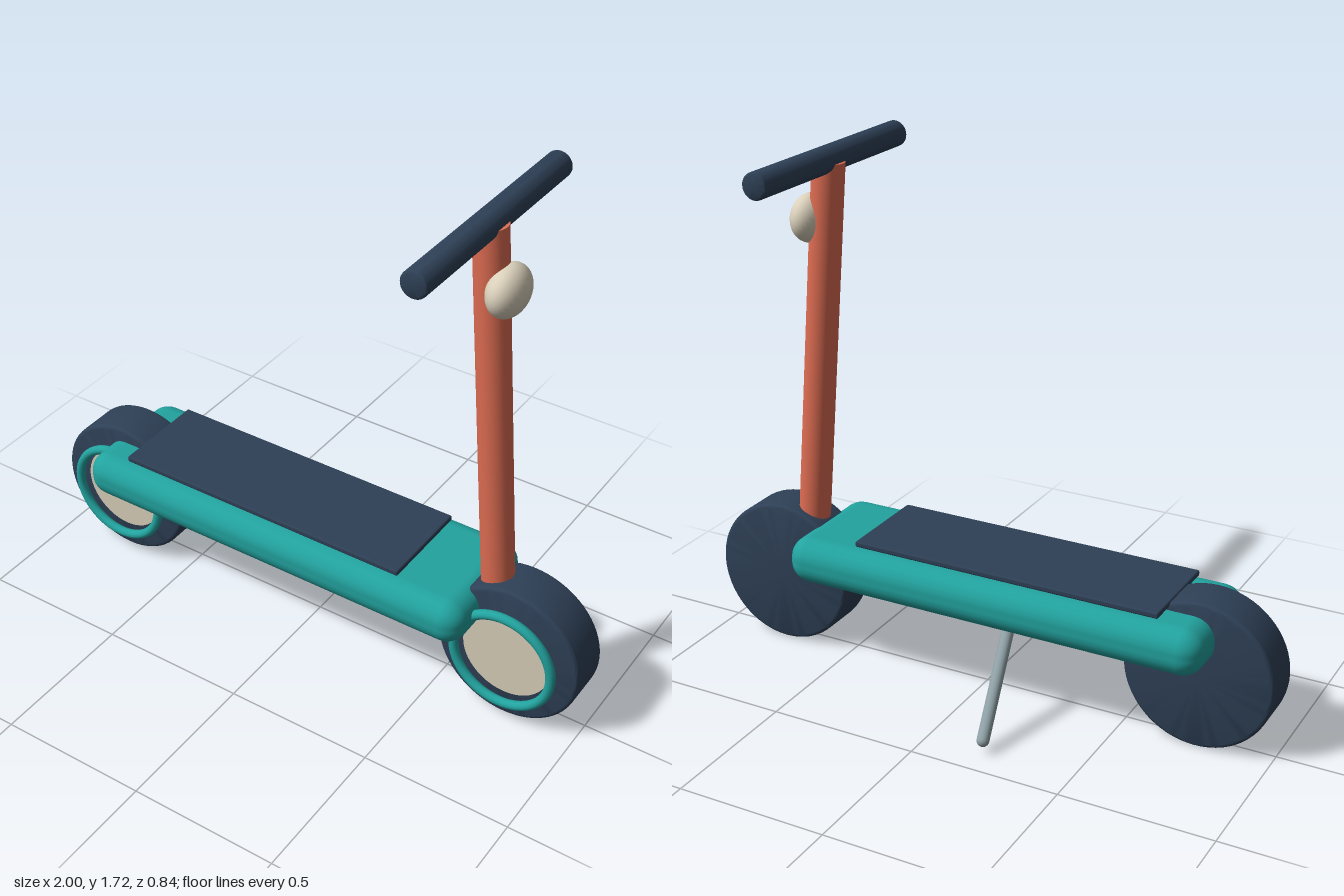
import * as THREE from 'three';
import { toCreasedNormals } from 'three/addons/utils/BufferGeometryUtils.js';
import { RoundedBoxGeometry } from 'three/addons/geometries/RoundedBoxGeometry.js';

const material = (name, color) => {
  const m = new THREE.MeshStandardMaterial({ color });
  m.name = name;
  return m;
};

// Solid disc or bar along z with softly rounded rims
function roundedCylinder(radius, length, bevel, sides) {
  const h = length / 2;
  const points = [new THREE.Vector2(0, -h)];
  for (const end of [-1, 1]) {
    for (let i = 0; i <= 4; i++) {
      const a = ((end < 0 ? i - 4 : i) / 4) * (Math.PI / 2);
      points.push(new THREE.Vector2(
        radius - bevel + bevel * Math.cos(a),
        end * (h - bevel) + bevel * Math.sin(a)));
    }
  }
  points.push(new THREE.Vector2(0, h));
  const g = new THREE.LatheGeometry(points, sides).rotateX(Math.PI / 2);
  return toCreasedNormals(g, 0.6);
}

// Place a mesh whose axis is y so that it runs between two points
function alignBetween(mesh, from, to) {
  mesh.position.copy(from).add(to).multiplyScalar(0.5);
  mesh.quaternion.setFromUnitVectors(
    new THREE.Vector3(0, 1, 0), to.clone().sub(from).normalize());
  return mesh;
}

export function createModel() {
  const navy = material('navy rubber', 0x2e4056);
  const teal = material('teal paint', 0x22a39f);
  const coral = material('coral paint', 0xdd6c52);
  const cream = material('cream', 0xd9cfba);
  const steel = material('grey steel', 0x8fa1a6);

  const model = new THREE.Group();
  model.name = 'kickScooter';
  const add = (parent, name, geometry, mat, x = 0, y = 0, z = 0) => {
    const mesh = new THREE.Mesh(geometry, mat);
    mesh.name = name;
    mesh.position.set(x, y, z);
    parent.add(mesh);
    return mesh;
  };
  const midZ = 0.014;

  // Wheels: tyre, hub plate and trim ring on the outer side
  for (const [name, x] of [['rearWheel', -0.754], ['frontWheel', 0.754]]) {
    const wheel = new THREE.Group();
    wheel.name = name;
    wheel.position.set(x, 0.246, midZ);
    model.add(wheel);
    add(wheel, 'tyre', roundedCylinder(0.246, 0.158, 0.014, 64), navy);
    add(wheel, 'hubPlate',
      new THREE.CylinderGeometry(0.152, 0.152, 0.006, 48).rotateX(Math.PI / 2),
      cream, 0, 0, 0.079);
    add(wheel, 'trimRing', new THREE.TorusGeometry(0.17, 0.016, 12, 64), teal, 0, 0, 0.111);
  }

  // Deck and grip mat
  add(model, 'deck', new RoundedBoxGeometry(1.455, 0.157, 0.442, 4, 0.07), teal,
    -0.078, 0.37, midZ);
  add(model, 'gripMat', new RoundedBoxGeometry(1.06, 0.02, 0.334, 2, 0.006), navy,
    -0.125, 0.467, midZ);

  // Steering column, leaning back
  const low = new THREE.Vector3(0.677, 0.34, midZ);
  const high = new THREE.Vector3(0.566, 1.675, midZ);
  alignBetween(add(model, 'steeringColumn',
    new THREE.CylinderGeometry(0.053, 0.053, low.distanceTo(high), 32), coral), low, high);

  // Handlebar
  add(model, 'handlebar', roundedCylinder(0.043, 0.812, 0.01, 32), navy, 0.565, 1.681, midZ);

  // Headlamp
  add(model, 'headlamp', new THREE.SphereGeometry(1, 32, 20).scale(0.059, 0.08, 0.091), cream,
    0.635, 1.485, midZ);

  // Kickstand
  const foot = new THREE.Vector3(-0.197, 0.042, -0.4);
  const pivot = new THREE.Vector3(-0.145, 0.34, -0.107);
  alignBetween(add(model, 'kickstand',
    new THREE.CapsuleGeometry(0.02, foot.distanceTo(pivot), 6, 16), steel), foot, pivot);

  return model;
}
